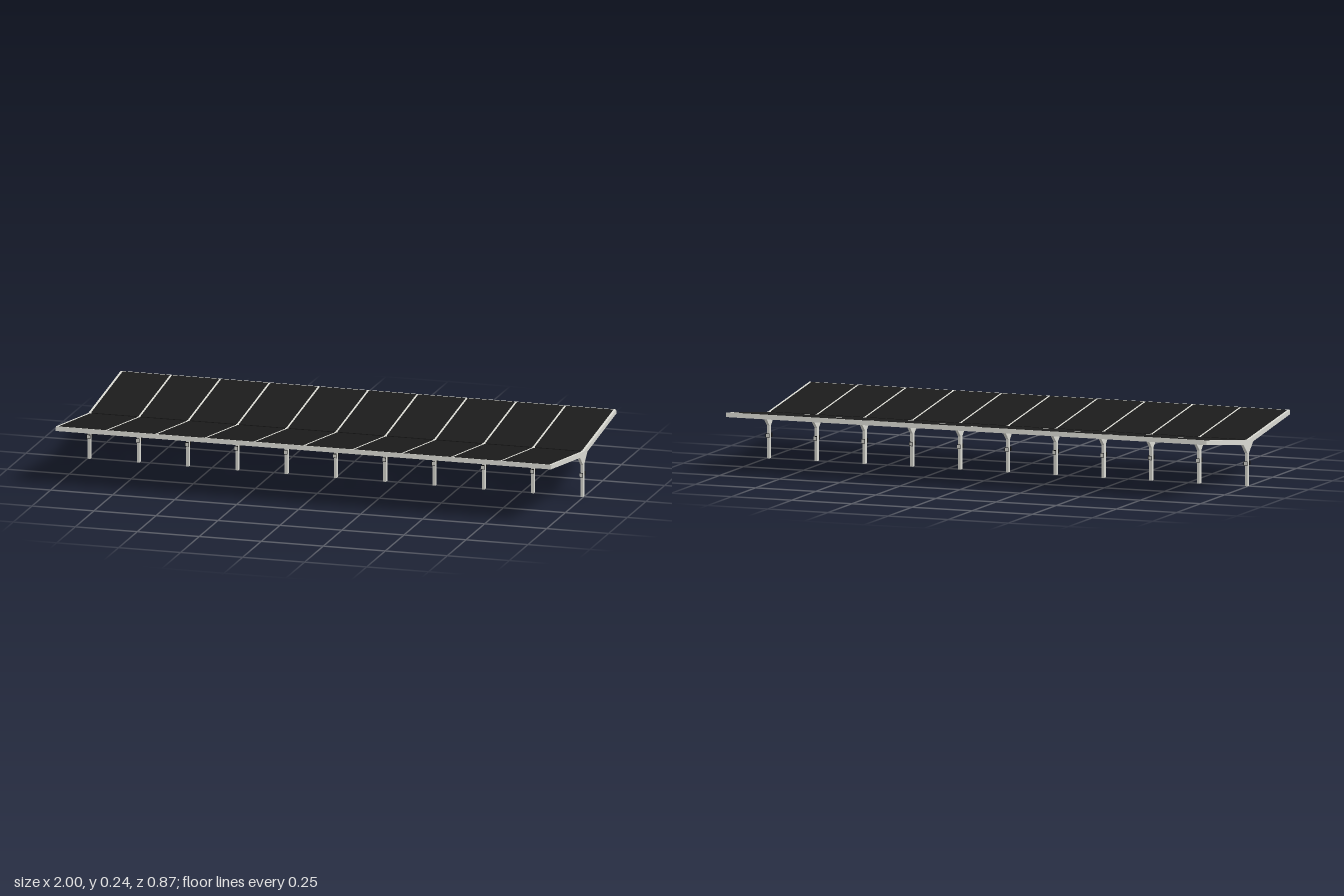
import * as THREE from 'three';

const steel = new THREE.MeshStandardMaterial({ color: 0xdadad3 });
steel.name = 'pale steel';
const panelBlack = new THREE.MeshStandardMaterial({ color: 0x1b1b1b });
panelBlack.name = 'panel black';
const trayGrey = new THREE.MeshStandardMaterial({ color: 0xd2d2d0 });
trayGrey.name = 'underside grey';
const fixtureBlack = new THREE.MeshStandardMaterial({ color: 0x141414 });
fixtureBlack.name = 'fixture black';

const FRAMES = 11;
const SPACING = 0.1987;
const FRAME_W = 0.011;
const RIDGE_Y = 0.18;
const TILT = Math.atan(0.133);
const WING = 0.438; // wing length along the slope
const DEPTH = 0.0178; // wing thickness
const GAP = 0.005; // half of the open slot along the valley

function box(name, material, x0, x1, y0, y1, z0, z1) {
  const mesh = new THREE.Mesh(new THREE.BoxGeometry(x1 - x0, y1 - y0, z1 - z0), material);
  mesh.position.set((x0 + x1) / 2, (y0 + y1) / 2, (z0 + z1) / 2);
  mesh.name = name;
  return mesh;
}

// Y-shaped frame outline: post, gussets and two sloping arms
function frameGeometry() {
  const half = [
    [0.009, 0], [0.009, 0.129], [0.05, 0.1674],
    [0.4364, 0.2204], [0.434, 0.2377], [0.008, RIDGE_Y + 0.001],
  ];
  const mirrored = half.map(([z, y]) => [-z, y]).reverse();
  const shape = new THREE.Shape([...half, ...mirrored].map(([z, y]) => new THREE.Vector2(z, y)));
  const geometry = new THREE.ExtrudeGeometry(shape, { depth: FRAME_W, bevelEnabled: false });
  geometry.translate(0, 0, -FRAME_W / 2);
  geometry.rotateY(Math.PI / 2);
  return geometry;
}

// Small lamp on each face of a post
function lamp() {
  const group = new THREE.Group();
  group.name = 'postLamp';
  group.add(
    box('lampStem', fixtureBlack, -0.005, 0.005, 0.083, 0.097, 0.009, 0.014),
    box('lampHead', fixtureBlack, -0.007, 0.007, 0.081, 0.098, 0.014, 0.0168),
    box('lampLens', steel, -0.006, 0.006, 0.083, 0.096, 0.0168, 0.0172),
  );
  return group;
}

// One sloping roof wing, built flat along +z and then tilted
function wing() {
  const group = new THREE.Group();
  group.name = 'roofWing';
  const end = WING - 0.004;
  const halfSpan = SPACING * (FRAMES - 1) / 2;
  const edge = halfSpan - FRAME_W / 2;
  group.add(box('undersideTray', trayGrey, -edge, edge, -DEPTH - 0.0008, -0.004, GAP, end));
  group.add(box('edgeFascia', steel, -halfSpan - FRAME_W / 2, halfSpan + FRAME_W / 2, -DEPTH, 0, end, WING));

  // Solar panels between neighbouring frames
  for (let bay = 0; bay < FRAMES - 1; bay++) {
    const x0 = -halfSpan + bay * SPACING + 0.004;
    const x1 = x0 + SPACING - 0.008;
    group.add(box('solarPanel', panelBlack, x0, x1, -0.004, 0.0002, GAP, end));
  }
  group.position.y = RIDGE_Y;
  group.rotation.x = -TILT;
  return group;
}

export function createModel() {
  const model = new THREE.Group();
  model.name = 'solarCanopy';

  const geometry = frameGeometry();
  for (let i = 0; i < FRAMES; i++) {
    const support = new THREE.Group();
    support.name = 'support';
    const frame = new THREE.Mesh(geometry, steel);
    frame.name = 'supportFrame';
    const frontLamp = lamp();
    const backLamp = lamp();
    backLamp.rotation.y = Math.PI;
    support.add(frame, frontLamp, backLamp);
    support.position.x = (i - (FRAMES - 1) / 2) * SPACING;
    model.add(support);
  }

  for (const turn of [0, Math.PI]) {
    const side = new THREE.Group();
    side.name = turn ? 'backRoof' : 'frontRoof';
    side.add(wing());
    side.rotation.y = turn;
    model.add(side);
  }
  return model;
}
